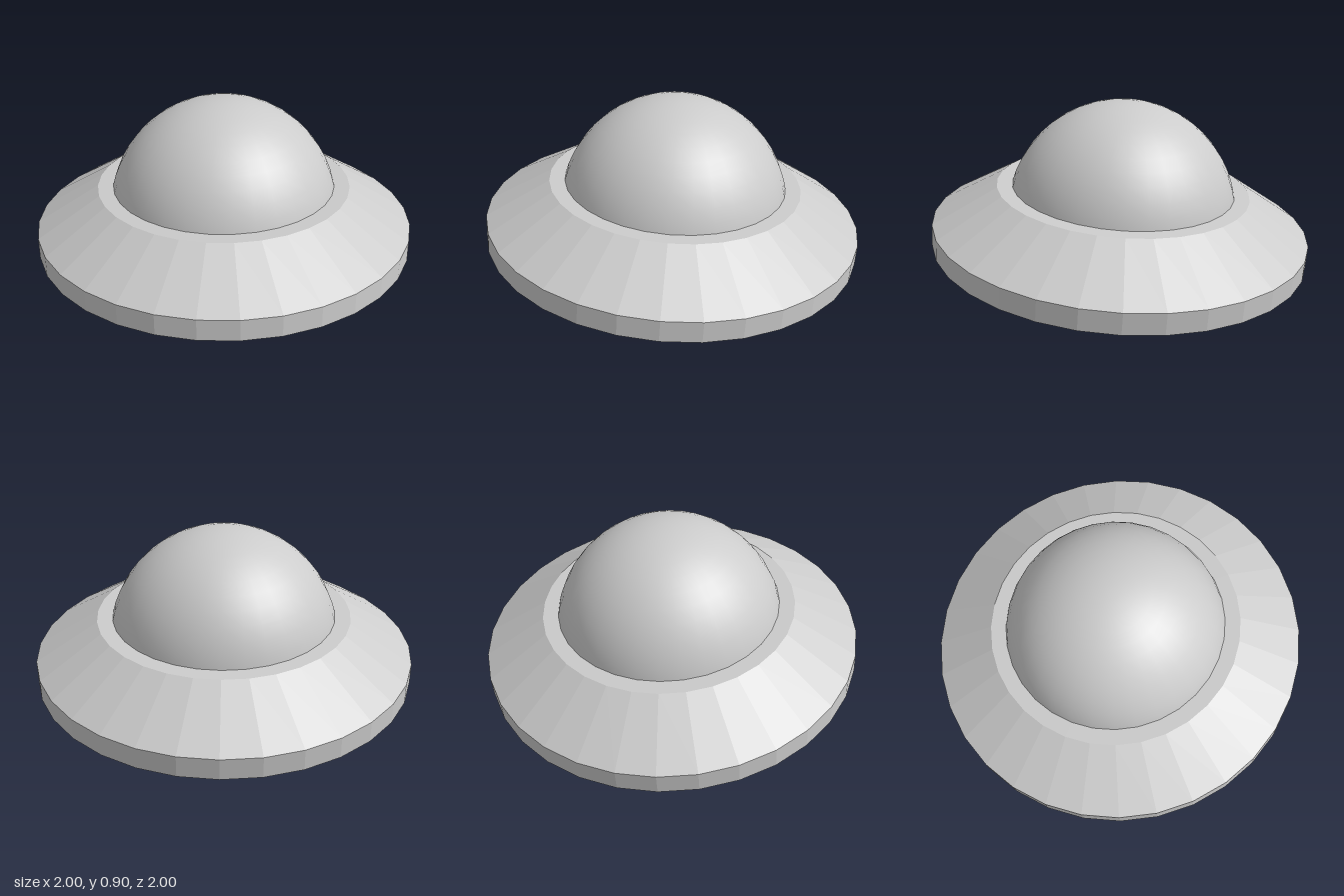
import * as THREE from 'three';

const SEGMENTS = 32;

export function createModel() {
  const model = new THREE.Group();

  // The whole craft leans slightly on its axis
  const saucer = new THREE.Group();
  saucer.name = 'saucer';
  saucer.position.y = 0.2;
  saucer.rotation.set(-0.075, -0.035, -0.035);
  model.add(saucer);

  // Faceted hull: flat underside, upright rim, sloping top, flat collar
  const profile = [[0, -0.075], [1, -0.075], [1, 0.035], [0.67, 0.24], [0, 0.24]]
    .map(([r, y]) => new THREE.Vector2(r, y));
  const hull = new THREE.Mesh(
    new THREE.LatheGeometry(profile, SEGMENTS),
    new THREE.MeshStandardMaterial({ color: 0xcccccc, flatShading: true })
  );
  hull.name = 'hull';
  saucer.add(hull);

  // Smooth dome: a sphere cut off open below, so its lower edge
  // shows as a ring under the hull
  const radius = 0.608;
  const cutDepth = 0.243;
  const dome = new THREE.Mesh(
    new THREE.SphereGeometry(radius, SEGMENTS, 16, 0, Math.PI * 2, 0, Math.acos(-cutDepth / radius)),
    new THREE.MeshStandardMaterial({ color: 0xcccccc, side: THREE.DoubleSide })
  );
  dome.name = 'dome';
  dome.position.y = 0.092;
  saucer.add(dome);

  return model;
}
